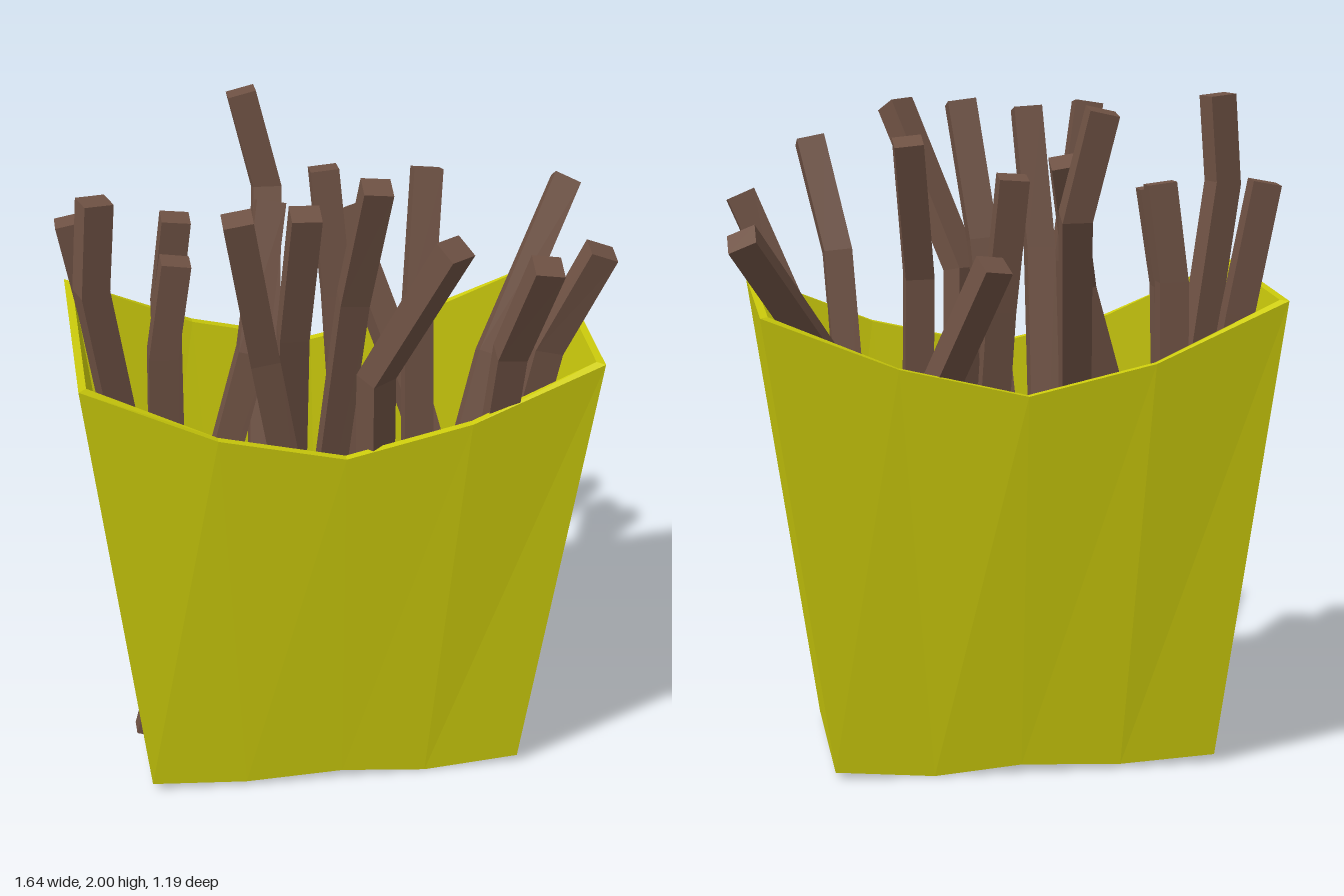
import * as THREE from 'three';

const yellow = new THREE.MeshStandardMaterial({ color: 0xcccb0c });
yellow.name = 'cartonYellow';
const brown = new THREE.MeshStandardMaterial({ color: 0x6f5244 });
brown.name = 'fryBrown';

const V = (x, y, z) => new THREE.Vector3(x, y, z);

// Faceted geometry from a list of four-cornered faces
function quadGeometry(quads) {
  const pos = [];
  for (const [a, b, c, d] of quads) {
    for (const p of [a, b, c, a, c, d]) pos.push(p.x, p.y, p.z);
  }
  const g = new THREE.BufferGeometry();
  g.setAttribute('position', new THREE.Float32BufferAttribute(pos, 3));
  g.computeVertexNormals();
  return g;
}

// Faces joining consecutive closed rings
function loft(rings) {
  const quads = [];
  for (let r = 0; r < rings.length - 1; r++) {
    const a = rings[r], b = rings[r + 1], n = a.length;
    for (let i = 0; i < n; i++) {
      const j = (i + 1) % n;
      quads.push([a[i], a[j], b[j], b[i]]);
    }
  }
  return quads;
}

// Closed ring: front edge left to right, then back edge right to left
function cartonRing(xs, ys, front, back) {
  const f = xs.map((x, i) => V(x, ys[i], front[i]));
  const b = xs.map((x, i) => V(x, ys[i], back[i]));
  return [...f, ...b.reverse()];
}

// Hollow tapered carton with a dipped rim
function makeCarton() {
  const topY = [1.43, 1.26, 1.175, 1.26, 1.415];
  const outerBottom = cartonRing([-0.62, -0.33, -0.03, 0.23, 0.525],
    [0.025, 0.012, 0.025, 0, 0.022],
    [0.25, 0.258, 0.258, 0.255, 0.25], [-0.335, -0.345, -0.345, -0.34, -0.33]);
  const outerTop = cartonRing([-0.79, -0.4, -0.03, 0.34, 0.73], topY,
    [0.31, 0.342, 0.345, 0.342, 0.32], [-0.455, -0.475, -0.475, -0.455, -0.44]);
  const innerTop = cartonRing([-0.767, -0.4, -0.03, 0.34, 0.707], topY,
    [0.288, 0.317, 0.32, 0.317, 0.297], [-0.433, -0.45, -0.45, -0.43, -0.418]);
  const innerBottom = cartonRing([-0.59, -0.33, -0.03, 0.23, 0.5],
    [0.05, 0.045, 0.05, 0.04, 0.05],
    [0.225, 0.232, 0.232, 0.23, 0.225], [-0.31, -0.32, -0.32, -0.315, -0.305]);
  const quads = loft([outerBottom, outerTop, innerTop, innerBottom]);
  // Floor inside and underside
  for (let i = 0; i < 4; i++) {
    const at = (ring, k) => ring[k];
    quads.push([i, i + 1, 8 - i, 9 - i].map(k => at(innerBottom, k)));
    quads.push([9 - i, 8 - i, i + 1, i].map(k => at(outerBottom, k)));
  }
  const mesh = new THREE.Mesh(quadGeometry(quads), yellow);
  mesh.name = 'carton';
  return mesh;
}

// Bent square stick through base, knee and tip
function makeFry(path, twist = 0) {
  const pts = path.map(p => V(...p)).reverse();
  const w = 0.043, d = 0.038;
  const rings = pts.map((p, i) => {
    const t = pts[Math.min(i + 1, 2)].clone().sub(pts[Math.max(i - 1, 0)]).normalize();
    const side = V(Math.cos(twist), 0, -Math.sin(twist));
    side.addScaledVector(t, -side.dot(t)).normalize();
    const face = side.clone().cross(t).normalize();
    return [[-1, 1], [1, 1], [1, -1], [-1, -1]].map(([a, b]) =>
      p.clone().addScaledVector(side, a * w).addScaledVector(face, b * d));
  });
  const quads = loft(rings);
  quads.push(rings[2], [...rings[0]].reverse());
  return new THREE.Mesh(quadGeometry(quads), brown);
}

// Tip, knee, base and twist of each fry
const fries = [
  [[-0.775, 1.74, -0.19], [-0.7, 1.35, -0.19], [-0.5, 0.15, -0.18]],
  [[-0.465, 1.74, -0.17], [-0.5, 1.45, -0.19], [-0.5, 0.12, -0.27]],
  [[-0.715, 1.96, 0.19], [-0.735, 1.69, 0.19], [-0.5, 0.15, 0.08], 0.3],
  [[-0.485, 1.7, 0.05], [-0.53, 1.4, 0.04], [-0.55, 0.15, -0.02]],
  [[-0.23, 1.99, -0.51], [-0.16, 1.69, -0.48], [-0.26, 0.4, 0.08]],
  [[-0.19, 1.8, -0.11], [-0.27, 1.4, 0.06], [-0.62, 0.2, 0.21]],
  [[-0.33, 1.93, 0.3], [-0.25, 1.45, 0.21], [-0.03, 0.15, 0.1]],
  [[-0.135, 1.92, 0.27], [-0.16, 1.5, 0.16], [-0.14, 0.15, -0.22]],
  [[0.08, 1.95, 0.18], [0.03, 1.55, 0.06], [-0.08, 0.15, -0.25]],
  [[0.24, 1.91, 0.54], [0.06, 1.42, 0.31], [0.08, 0.15, 0.16], 0.6],
  [[0.515, 1.81, 0.47], [0.445, 1.48, 0.33], [0.37, 0.15, 0.02]],
  [[0.75, 1.69, 0.13], [0.61, 1.36, 0.07], [0.36, 0.15, 0.02]],
  [[0.78, 1.65, -0.5], [0.5, 1.2, -0.22], [0.15, 0.2, 0.18]],
  [[0.08, 1.57, -0.55], [0.28, 1.0, -0.28], [0.48, 0.2, 0.12], 0.3],
  [[0, 1.79, -0.36], [0.03, 1.4, -0.3], [0.08, 0.15, -0.1]],
  [[0.275, 1.87, -0.13], [0.23, 1.45, 0], [0.24, 0.15, 0.05]],
];

export function createModel() {
  const model = new THREE.Group();
  model.name = 'fryCarton';
  model.add(makeCarton());

  const bundle = new THREE.Group();
  bundle.name = 'fries';
  fries.forEach(([tip, knee, base, twist], i) => {
    const fry = makeFry([tip, knee, base], twist);
    fry.name = `fry${i + 1}`;
    bundle.add(fry);
  });

  // Fries lying flat on the carton floor
  for (let i = 0; i < 3; i++) {
    const flat = new THREE.Mesh(new THREE.BoxGeometry(0.083, 0.08, 0.53), brown);
    flat.position.set(-0.525 + i * 0.084, 0.09, -0.045);
    flat.name = `flatFry${i + 1}`;
    bundle.add(flat);
  }
  model.add(bundle);
  return model;
}
